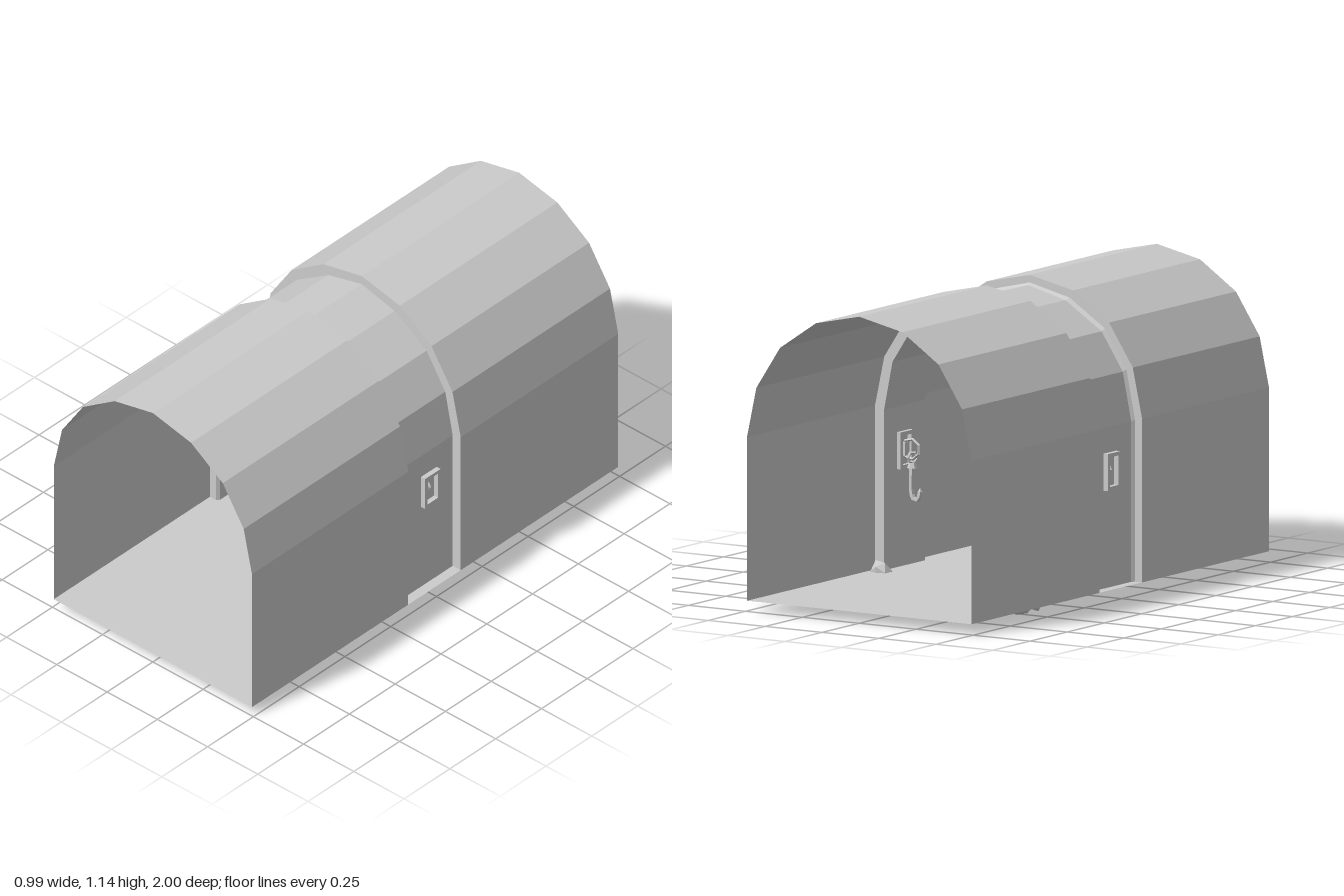
import * as THREE from 'three';

const material = new THREE.MeshStandardMaterial({ color: 0xcccccc, flatShading: true, side: THREE.DoubleSide });

function add(parent, name, geometry, x = 0, y = 0, z = 0) {
  const mesh = new THREE.Mesh(geometry, material);
  mesh.name = name;
  mesh.position.set(x, y, z);
  parent.add(mesh);
  return mesh;
}

// Right half of an arch (foot to crown), mirrored into a full arch
const FLOOR = 0.045;
function arch(half) {
  const left = half.slice(0, -1).reverse().map(([x, y]) => [-x, y]);
  return [...half, ...left];
}
const outer = arch([[0.493, FLOOR], [0.493, 0.655], [0.452, 0.842], [0.348, 1.0], [0.19, 1.106], [0, 1.147]]);
const lip = arch([[0.462, FLOOR], [0.462, 0.648], [0.424, 0.833], [0.33, 0.977], [0.174, 1.078], [0, 1.119]]);
const inner = arch([[0.453, FLOOR], [0.453, 0.643], [0.416, 0.825], [0.323, 0.967], [0.164, 1.069], [0, 1.11]]);

// Skin between successive arches, each placed at its own z
function loft(sections) {
  const pos = [];
  for (let s = 0; s < sections.length - 1; s++) {
    const [a, za] = sections[s], [b, zb] = sections[s + 1];
    for (let i = 0; i < a.length - 1; i++) {
      const p = [...a[i], za], q = [...a[i + 1], za], r = [...b[i + 1], zb], t = [...b[i], zb];
      pos.push(...p, ...r, ...q, ...p, ...t, ...r);
    }
  }
  const g = new THREE.BufferGeometry();
  g.setAttribute('position', new THREE.Float32BufferAttribute(pos, 3));
  g.computeVertexNormals();
  return g;
}

// Faceted stone: an icosahedron with each corner pushed in or out by a position rule
function stone(rx, ry, rz, seed) {
  const g = new THREE.IcosahedronGeometry(1, 0);
  const p = g.attributes.position, v = new THREE.Vector3();
  for (let i = 0; i < p.count; i++) {
    v.fromBufferAttribute(p, i);
    const k = 0.93 + 0.13 * Math.sin(seed + 3.1 * v.x + 5.3 * v.y + 7.7 * v.z);
    p.setXYZ(i, v.x * k * rx, v.y * k * ry, v.z * k * rz);
  }
  g.computeVertexNormals();
  return g;
}

// Rectangular frame with an open middle, facing along x
function frame(width, height, border, depth) {
  const w = width / 2, h = height / 2, b = border;
  const shape = new THREE.Shape([[-w, -h], [w, -h], [w, h], [-w, h]].map(p => new THREE.Vector2(...p)));
  shape.holes.push(new THREE.Path([[b - w, b - h], [b - w, h - b], [w - b, h - b], [w - b, b - h]].map(p => new THREE.Vector2(...p))));
  const g = new THREE.ExtrudeGeometry(shape, { depth, bevelEnabled: false });
  g.translate(0, 0, -depth / 2);
  g.rotateY(Math.PI / 2);
  return g;
}

export function createModel() {
  const model = new THREE.Group();
  model.name = 'tunnelSection';

  // Arched walls with a recessed band in the middle
  add(model, 'frontVault', loft([[outer, 1], [outer, 0.147]]));
  add(model, 'recessedBand', loft([[outer, 0.147], [lip, 0.147], [inner, 0.135], [inner, -0.14], [outer, -0.14]]));
  add(model, 'backVault', loft([[outer, -0.14], [outer, -1]]));

  // Floor
  const floor = new THREE.PlaneGeometry(0.986, 2);
  floor.rotateX(-Math.PI / 2);
  add(model, 'floor', floor, 0, FLOOR, 0);

  // Wall frames and rings on both sides
  for (const side of [-1, 1]) {
    const fixture = new THREE.Group();
    fixture.name = side > 0 ? 'leftFixture' : 'rightFixture';
    add(fixture, 'wallFrame', frame(0.085, 0.138, 0.014, 0.036), side * 0.455, 0.479, -0.01);
    add(fixture, 'ringMount', new THREE.BoxGeometry(0.016, 0.05, 0.03), side * 0.445, 0.482, -0.01);
    const ring = add(fixture, 'wallRing', new THREE.TorusGeometry(0.038, 0.006, 4, 7), side * 0.42, 0.482, -0.01);
    if (side > 0) ring.rotation.y = Math.PI;
    ring.rotation.z = Math.PI;
    model.add(fixture);
  }

  // Hook hanging from the left ring
  const hook = new THREE.Group();
  hook.name = 'hangingHook';
  hook.position.set(0.414, 0, -0.01);
  const link = add(hook, 'hookLink', new THREE.TorusGeometry(0.019, 0.006, 4, 6), 0, 0.452, 0);
  link.rotation.y = Math.PI / 3;
  add(hook, 'hookCollar', new THREE.CylinderGeometry(0.012, 0.02, 0.02, 6), 0, 0.422, 0);
  const curve = new THREE.CatmullRomCurve3([
    [0.002, 0.425], [0.003, 0.38], [0.003, 0.33], [-0.002, 0.303], [-0.015, 0.293], [-0.029, 0.302], [-0.034, 0.328],
  ].map(([x, y]) => new THREE.Vector3(x, y, 0)));
  add(hook, 'hookShank', new THREE.TubeGeometry(curve, 10, 0.01, 5));
  add(hook, 'hookTip', new THREE.ConeGeometry(0.01, 0.016, 5), -0.034, 0.333, 0);
  model.add(hook);

  // Loose stones along the foot of the walls
  add(model, 'leftStone', stone(0.042, 0.046, 0.046, 1), 0.447, 0.046, -0.172);
  add(model, 'rightLargeStone', stone(0.052, 0.044, 0.052, 4), -0.447, 0.058, -0.588);
  add(model, 'rightSmallStone', stone(0.032, 0.03, 0.032, 2), -0.428, 0.045, -0.478);

  return model;
}
